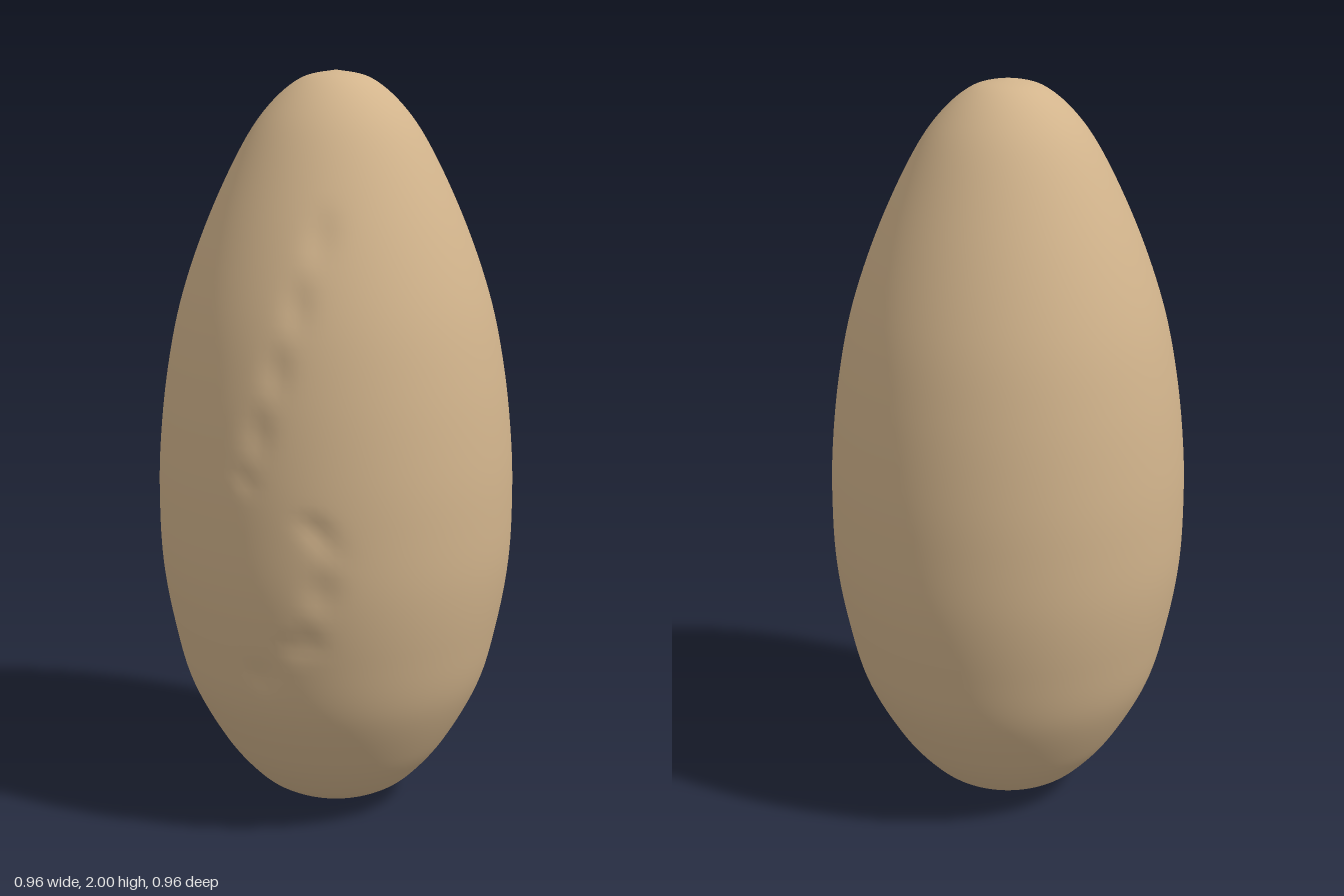
import * as THREE from 'three';
import { mergeVertices } from 'three/addons/utils/BufferGeometryUtils.js';

// Points (x, y) along the shallow, wrinkled creases on the front and the left side
const CREASES = [
  [[0.22, 1.65], [0.21, 1.4], [0.18, 1.2], [0.14, 1.02]],
  [[0.30, 0.9], [0.33, 0.8], [0.27, 0.6], [0.13, 0.48]],
];

function segmentDistance(x, y, [ax, ay], [bx, by]) {
  const dx = bx - ax, dy = by - ay;
  const t = THREE.MathUtils.clamp(((x - ax) * dx + (y - ay) * dy) / (dx * dx + dy * dy), 0, 1);
  return Math.hypot(x - ax - dx * t, y - ay - dy * t);
}

// Depth of the creases at a point of the shell
function creaseDepth(x, y, z) {
  if (z < 0) return 0;
  let d = 1;
  for (const line of CREASES) {
    for (let i = 1; i < line.length; i++) d = Math.min(d, segmentDistance(x, y, line[i - 1], line[i]));
  }
  const ripple = 0.6 + 0.4 * Math.sin(y * 38 + x * 17);
  return 0.009 * ripple * Math.exp(-((d / 0.03) ** 2));
}

export function createModel() {
  const group = new THREE.Group();
  const tan = new THREE.MeshStandardMaterial({ color: 0xd2b48c });
  tan.name = 'tan shell';

  // Egg outline, radius against height, widest below the middle
  const outline = new THREE.SplineCurve([
    [0, 0.005], [0.08, 0.015], [0.17, 0.05], [0.235, 0.1], [0.315, 0.2], [0.4, 0.36], [0.445, 0.53],
    [0.472, 0.7], [0.478, 0.87], [0.472, 1.03], [0.45, 1.22], [0.41, 1.41], [0.34, 1.61],
    [0.25, 1.8], [0.175, 1.91], [0.09, 1.98], [0, 2],
  ].map(([r, y]) => new THREE.Vector2(r, y)));
  const points = outline.getPoints(110);
  points.forEach((p) => { p.x = Math.max(p.x, 0); });
  points[0].x = points[points.length - 1].x = 0;

  let geometry = new THREE.LatheGeometry(points, 128);
  geometry.deleteAttribute('uv');
  geometry.deleteAttribute('normal');
  geometry = mergeVertices(geometry, 1e-5);

  // Press the creases into the shell
  const pos = geometry.attributes.position;
  for (let i = 0; i < pos.count; i++) {
    const x = pos.getX(i), y = pos.getY(i), z = pos.getZ(i);
    const r = Math.hypot(x, z);
    if (r < 0.01) continue;
    const k = 1 - creaseDepth(x, y, z) / r;
    pos.setXYZ(i, x * k, y, z * k);
  }
  geometry.computeVertexNormals();

  const shell = new THREE.Mesh(geometry, tan);
  shell.name = 'eggShell';
  group.add(shell);
  return group;
}
